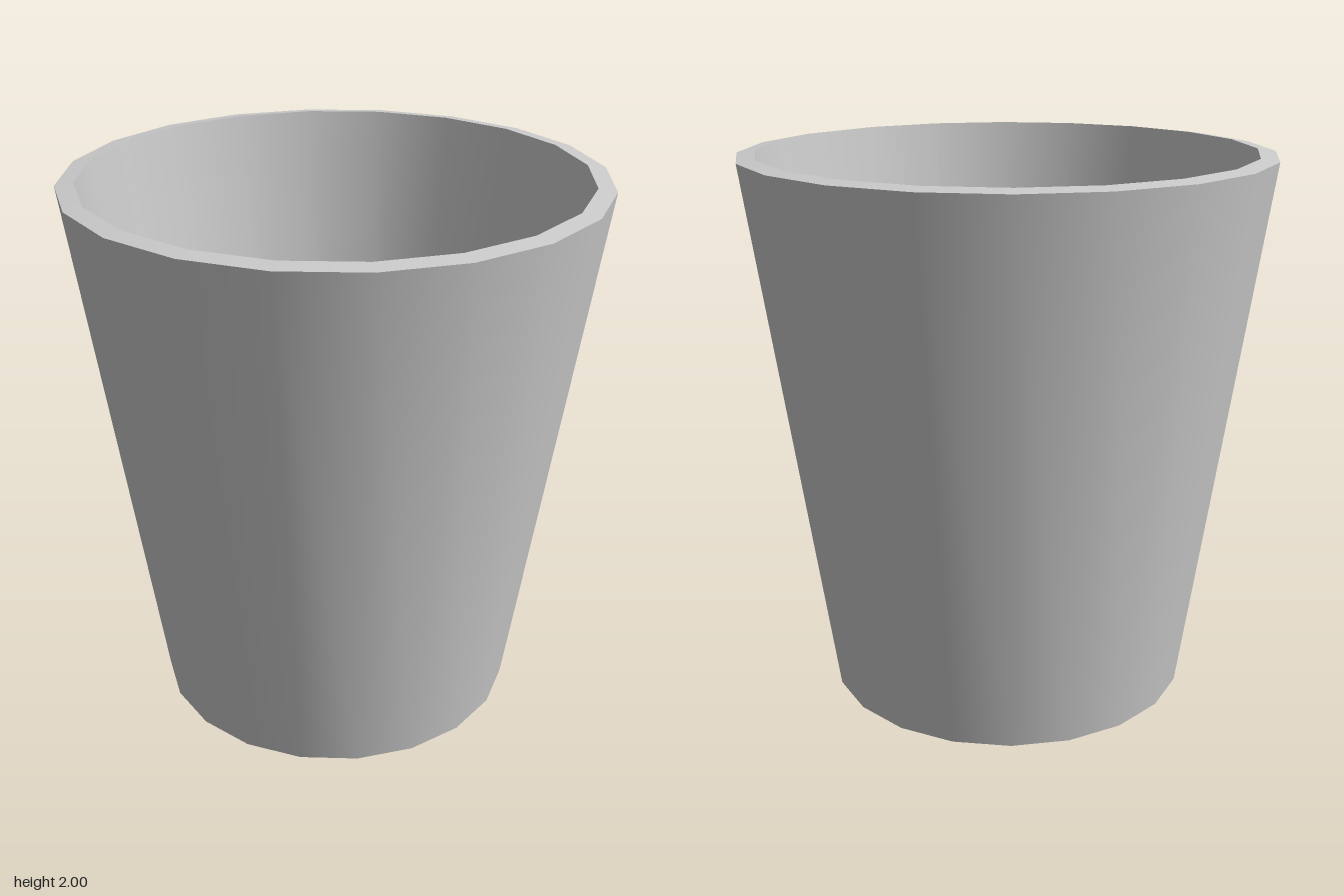
import * as THREE from 'three';

const SIDES = 20;

// Closed cup profile as [radius, height], from the bottom centre round to the floor centre
const profile = [
  [0, 0],
  [0.672, 0],
  [0.955, 1.991],
  [0.89, 2],
  [0.615, 0.066],
  [0, 0.066],
].map(([r, y]) => new THREE.Vector2(r, y));

const names = ['base', 'outerWall', 'rim', 'innerWall', 'floor'];

export function createModel() {
  const cup = new THREE.Group();
  cup.name = 'cup';
  const material = new THREE.MeshStandardMaterial({ color: 0xcccccc });

  // One lathe per profile segment: smooth around, sharp at the profile corners
  names.forEach((name, i) => {
    const geometry = new THREE.LatheGeometry([profile[i], profile[i + 1]], SIDES);
    const mesh = new THREE.Mesh(geometry, material);
    mesh.name = name;
    cup.add(mesh);
  });

  return cup;
}
